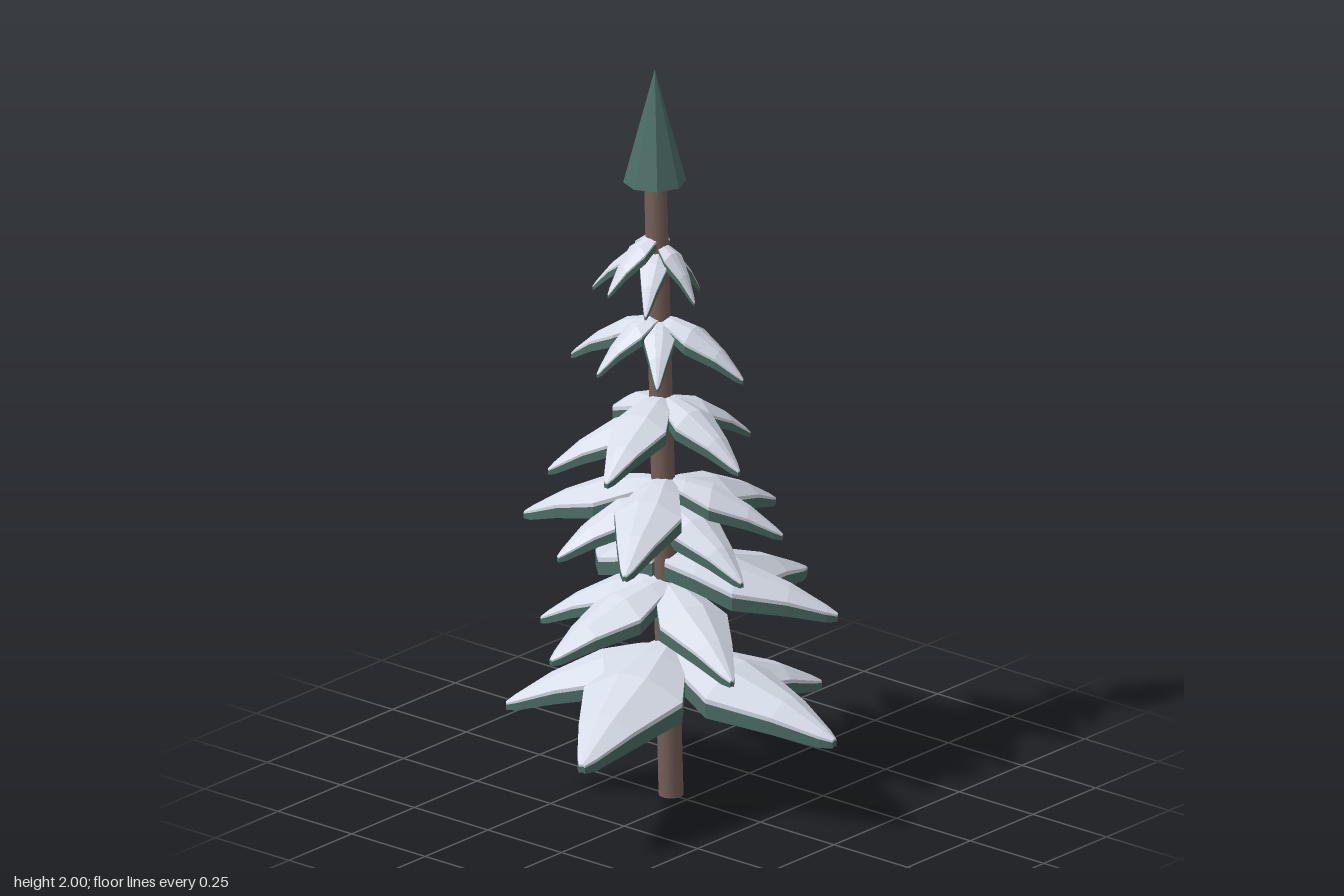
import * as THREE from 'three';
import { mergeVertices } from 'three/addons/utils/BufferGeometryUtils.js';

const snow = new THREE.MeshStandardMaterial({ color: 0xd8deea });
snow.name = 'snow';
const green = new THREE.MeshStandardMaterial({ color: 0x4b6d66 });
green.name = 'needleGreen';
const bark = new THREE.MeshStandardMaterial({ color: 0x765f57 });
bark.name = 'bark';

// Trunk centre line, leaning slightly back
const trunkX = (y) => 0.004 - 0.01 * y / 1.7;
const trunkZ = (y) => -0.057 - 0.045 * y / 1.7;

// Bough stations: distance along, half width, share of the droop, share of the thickness
const STATIONS = [
  [0, 0.09, 0, 1], [0.18, 0.165, 0.03, 1], [0.41, 0.25, 0.14, 1],
  [0.72, 0.14, 0.51, 0.85], [0.94, 0.05, 0.88, 0.6], [1, 0.015, 1, 0.4],
];

// Tip positions [x, y, z] of the boughs, tier by tier from the ground up
const TIERS = [
  [[0.035, 0.255, 0.472], [0.45, 0.20, 0.07], [0.175, 0.21, -0.40], [-0.295, 0.25, -0.363], [-0.53, 0.255, 0.095]],
  [[0.53, 0.46, -0.05], [0.25, 0.50, 0.30], [-0.155, 0.43, 0.285], [-0.36, 0.44, -0.155], [-0.16, 0.45, -0.36], [0.21, 0.50, -0.475]],
  [[0.39, 0.70, -0.035], [0.165, 0.72, 0.185], [-0.05, 0.66, 0.23], [-0.33, 0.72, 0.07], [-0.275, 0.69, -0.205], [-0.125, 0.71, -0.445], [0.24, 0.69, -0.325]],
  [[0.24, 0.94, 0.01], [-0.015, 0.95, 0.19], [-0.305, 0.95, -0.015], [-0.225, 0.90, -0.28], [0.185, 0.92, -0.385]],
  [[0.21, 1.13, -0.06], [0.06, 1.17, 0.14], [-0.13, 1.17, 0.01], [-0.17, 1.18, -0.16], [-0.06, 1.16, -0.34], [0.13, 1.16, -0.28]],
  [[0.12, 1.36, -0.06], [-0.01, 1.38, 0.035], [-0.13, 1.36, -0.03], [-0.15, 1.40, -0.14], [-0.07, 1.37, -0.26], [0.11, 1.39, -0.24]],
];

// Cross-section corners: side position and drop, as shares of the half width
const SECTION = [[-1, 0.42], [-0.28, 0.03], [0.28, 0.03], [1, 0.42]];
const RING = SECTION.length * 2;

// One folded layer of a bough along +z, between depths top and bottom
function boughLayer(length, droop, top, bottom) {
  const points = [];
  for (const [t, w, d, thickness] of STATIONS) {
    const corner = (depth) => ([side, drop]) => [
      side * w * length, -d * droop - drop * w * length - depth * thickness, t * length,
    ];
    points.push(...SECTION.map(corner(top)), ...SECTION.map(corner(bottom)).reverse());
  }
  const index = [];
  for (let i = 0; i < STATIONS.length - 1; i++) {
    for (let k = 0; k < RING; k++) {
      const a = i * RING + k, b = i * RING + (k + 1) % RING;
      index.push(a, a + RING, b, b, a + RING, b + RING);
    }
  }
  // End caps
  const last = (STATIONS.length - 1) * RING;
  for (let k = 0; k < SECTION.length - 1; k++) {
    const a = k, b = k + 1, c = RING - 2 - k, d = RING - 1 - k;
    index.push(a, b, c, a, c, d, last + a, last + c, last + b, last + a, last + d, last + c);
  }
  const geometry = new THREE.BufferGeometry();
  geometry.setAttribute('position', new THREE.Float32BufferAttribute(points.flat(), 3));
  geometry.setIndex(index);
  const flat = geometry.toNonIndexed();
  flat.computeVertexNormals();
  return flat;
}

function makeBough([x, y, z]) {
  const bough = new THREE.Group();
  bough.name = 'bough';
  const cx = trunkX(y), cz = trunkZ(y);
  const length = Math.hypot(x - cx, z - cz);
  const droop = 0.13 + 0.05 * length;
  const thick = 0.014 + 0.075 * length;
  const needles = new THREE.Mesh(boughLayer(length, droop, 0.25 * thick, thick), green);
  needles.name = 'needles';
  const cover = new THREE.Mesh(boughLayer(length, droop, 0, 0.25 * thick), snow);
  cover.name = 'snowCover';
  bough.add(needles, cover);
  bough.position.set(cx, y + droop + 0.4 * thick, cz);
  bough.rotation.y = Math.atan2(x - cx, z - cz);
  return bough;
}

export function createModel() {
  const tree = new THREE.Group();
  tree.name = 'snowyTree';

  // Leaning trunk, sheared to follow its centre line, shaded smoothly over its ends
  const cylinder = new THREE.CylinderGeometry(0.03, 0.033, 1.72, 12);
  cylinder.translate(0, 0.86, 0);
  cylinder.deleteAttribute('normal');
  cylinder.deleteAttribute('uv');
  const trunkGeometry = mergeVertices(cylinder);
  const p = trunkGeometry.attributes.position;
  for (let i = 0; i < p.count; i++) {
    const y = p.getY(i);
    p.setXYZ(i, p.getX(i) + trunkX(y), y, p.getZ(i) + trunkZ(y));
  }
  trunkGeometry.computeVertexNormals();
  const trunk = new THREE.Mesh(trunkGeometry, bark);
  trunk.name = 'trunk';
  tree.add(trunk);

  // Tiers of drooping boughs
  TIERS.forEach((tips, i) => {
    const tier = new THREE.Group();
    tier.name = `tier${i + 1}`;
    tips.forEach((tip) => tier.add(makeBough(tip)));
    tree.add(tier);
  });

  // Faceted treetop
  const topGeometry = new THREE.ConeGeometry(0.082, 0.31, 8).toNonIndexed();
  topGeometry.computeVertexNormals();
  const treetop = new THREE.Mesh(topGeometry, green);
  treetop.name = 'treetop';
  treetop.position.set(-0.006, 1.845, -0.104);
  tree.add(treetop);

  return tree;
}
